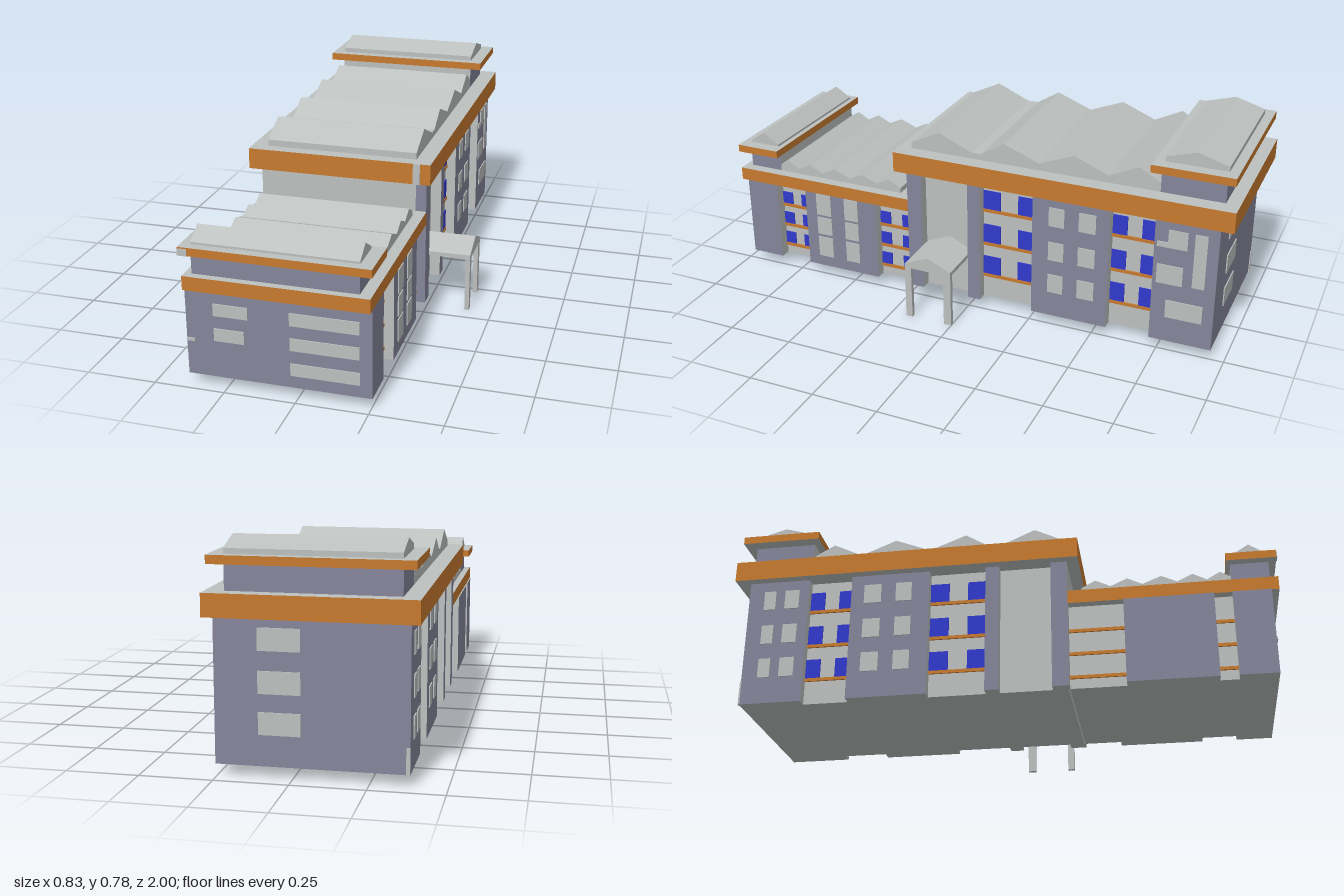
import * as THREE from 'three';

const mat = (name, color) => {
  const m = new THREE.MeshStandardMaterial({ color });
  m.name = name;
  return m;
};

export function createModel() {
  const gray = mat('pale gray', 0xbcc0be);
  const purple = mat('slate purple', 0x85859b);
  const orange = mat('orange trim', 0xc77a2e);
  const blue = mat('blue glass', 0x3139cc);
  const root = new THREE.Group();
  root.name = 'building';

  // box from ranges; material may be a six-entry array: +x -x +y -y +z -z
  const box = (name, m, x0, x1, y0, y1, z0, z1) => {
    const mesh = new THREE.Mesh(new THREE.BoxGeometry(x1 - x0, y1 - y0, z1 - z0), m);
    mesh.position.set((x0 + x1) / 2, (y0 + y1) / 2, (z0 + z1) / 2);
    mesh.name = name;
    root.add(mesh);
    return mesh;
  };
  // prism running along x from a [z, y] profile
  const prism = (name, m, x0, x1, profile) => {
    const shape = new THREE.Shape(profile.map(([z, y]) => new THREE.Vector2(-z, y)));
    const geo = new THREE.ExtrudeGeometry(shape, { depth: x1 - x0, bevelEnabled: false });
    geo.rotateY(Math.PI / 2).translate(x0, 0, 0);
    const mesh = new THREE.Mesh(geo, m);
    mesh.name = name;
    root.add(mesh);
  };
  const T = 0.004; // plate thickness
  const sidePlate = (name, m, side, x, y0, y1, z0, z1) =>
    side > 0 ? box(name, m, x - 0.002, x + T, y0, y1, z0, z1)
      : box(name, m, x - T, x + 0.002, y0, y1, z0, z1);

  const XL = -0.385, XR = 0.255, CL = -0.345, CR = 0.215, Y0 = 0.04;
  const FT = 0.36, RT = 0.53; // wall tops of the two wings
  const trim = [orange, orange, gray, gray, orange, orange];
  const pier = [purple, purple, gray, gray, gray, gray];

  // recessed cores
  box('frontWingCore', gray, CL, CR, Y0, FT, 0.25, 0.9);
  box('rearWingCore', gray, CL, CR, Y0, RT, -0.8, 0.245);
  box('rearWingFrontWall', gray, -0.38, CR, FT, RT, 0.2, 0.25);

  // solid end blocks
  box('frontEndBlock', [purple, purple, gray, gray, purple, gray], XL, XR, Y0, FT, 0.835, 0.97);
  box('rearEndBlock', [purple, purple, gray, gray, gray, purple], XL + 0.004, XR, Y0, RT, -0.95, -0.72);

  // projecting side piers
  const rearPiers = [[-0.555, -0.26], [-0.05, 0], [0.19, 0.25]];
  for (const [z0, z1] of rearPiers) {
    const corner = z1 === 0.25;
    box('rightPier', corner ? [purple, purple, gray, gray, purple, gray] : pier, CR, XR, Y0, RT, z0, z1);
    box('leftPier', pier, -0.381, CL, Y0, RT, z0, z1);
  }
  box('rightFrontPier', pier, CR, XR, Y0, FT, 0.39, 0.705);
  box('leftFrontPier', pier, XL, CL, Y0, FT, 0.45, 0.77);

  // balcony bays: floor strips with a pair of blue windows
  const bay = (side, z0, z1, rows, h, w, glass) => {
    const x = side > 0 ? CR : CL;
    for (const y of rows) {
      sidePlate('floorStrip', orange, side, x + side * 0.003, y - 0.012, y, z0, z1);
      if (!glass) continue;
      sidePlate('bayWindow', blue, side, x, y, y + h, z0, z0 + w);
      sidePlate('bayWindow', blue, side, x, y, y + h, z1 - w, z1);
    }
  };
  const rearRows = [0.14, 0.275, 0.415], frontRows = [0.088, 0.178, 0.268];
  for (const side of [1, -1]) {
    bay(side, -0.26, -0.05, rearRows, 0.075, 0.07, true);
    bay(side, -0.72, -0.555, rearRows, 0.075, 0.055, true);
  }
  bay(1, 0.705, 0.835, frontRows, 0.05, 0.045, true);
  bay(1, 0.25, 0.39, frontRows, 0.05, 0.045, true);
  bay(-1, 0.25, 0.45, frontRows, 0.05, 0.045, false);
  bay(-1, 0.77, 0.835, frontRows, 0.05, 0.045, false);

  // pale windows on the piers
  for (const y of rearRows) {
    for (const [z0, z1] of [[-0.385, -0.325], [-0.505, -0.44]]) {
      sidePlate('rightWindow', gray, 1, XR, y, y + 0.075, z0, z1);
      sidePlate('leftWindow', gray, -1, -0.381, y, y + 0.075, z0, z1);
    }
    sidePlate('leftEndWindow', gray, -1, -0.381, y, y + 0.075, -0.89, -0.845);
    sidePlate('leftEndWindow', gray, -1, -0.381, y, y + 0.075, -0.81, -0.755);
    box('backWindow', gray, -0.03, 0.11, y + 0.005, y + 0.08, -0.95 - T, -0.948);
  }
  box('backCornerPlate', gray, -0.381, -0.368, Y0, 0.13, -0.95 - T, -0.948);
  for (const [y0, y1] of [[0.085, 0.17], [0.183, 0.257], [0.268, 0.358]]) {
    sidePlate('rightWindow', gray, 1, XR, y0, y1, 0.59, 0.655);
    sidePlate('rightWindow', gray, 1, XR, y0, y1, 0.47, 0.53);
  }
  for (const [y0, y1, z0, z1] of [[0.42, 0.49, -0.84, -0.77], [0.42, 0.44, -0.77, -0.73],
    [0.28, 0.49, -0.91, -0.865], [0.275, 0.35, -0.83, -0.735], [0.14, 0.21, -0.91, -0.775]]) {
    sidePlate('rightEndWindow', gray, 1, XR, y0, y1, z0, z1);
  }
  for (const [x0, x1, y0, y1] of [[-0.023, 0.214, 0.085, 0.13], [-0.023, 0.214, 0.177, 0.222],
    [-0.023, 0.214, 0.267, 0.313], [-0.287, -0.166, 0.267, 0.311], [-0.287, -0.181, 0.175, 0.221],
    [-0.385, -0.356, 0.164, 0.175]]) {
    box('frontWindow', gray, x0, x1, y0, y1, 0.968, 0.97 + T);
  }

  // roof slabs with orange edges
  box('frontRoofSlab', trim, -0.38, 0.256, FT, 0.41, 0.25, 0.997);
  box('rearRoofSlab', trim, -0.415, 0.278, RT, 0.608, -1, 0.293);
  box('slabEndPlate', gray, 0.214, 0.24, RT, 0.608, 0.291, 0.293 + T);

  // end penthouses
  box('frontPenthouse', [purple, purple, gray, gray, purple, gray], -0.355, CR, 0.41, 0.483, 0.835, 0.97);
  box('frontPenthouseSlab', trim, -0.389, 0.262, 0.483, 0.512, 0.82, 0.997);
  box('slabEndPlate', gray, -0.389, -0.356, 0.483, 0.507, 0.995, 1);
  prism('frontPenthouseRoof', gray, -0.355, CR,
    [[0.965, 0.51], [0.965, 0.52], [0.905, 0.56], [0.84, 0.52], [0.84, 0.51]]);
  box('rearPenthouse', [purple, purple, gray, gray, gray, purple], -0.355, CR, 0.608, 0.697, -0.95, -0.72);
  box('rearPenthouseSlab', trim, -0.401, 0.263, 0.697, 0.726, -0.988, -0.692);
  prism('rearPenthouseRoof', gray, -0.355, CR,
    [[-0.73, 0.724], [-0.73, 0.744], [-0.84, 0.777], [-0.953, 0.744], [-0.953, 0.724]]);

  // ridged roofs
  prism('frontRidgedRoof', gray, -0.355, CR,
    [[0.3, 0.405], [0.3, 0.43], [0.35, 0.457], [0.405, 0.43], [0.465, 0.457], [0.52, 0.43],
      [0.588, 0.457], [0.645, 0.43], [0.7, 0.457], [0.75, 0.43], [0.797, 0.457], [0.835, 0.435],
      [0.835, 0.405]]);
  prism('rearRidgedRoof', gray, -0.355, CR,
    [[0.245, 0.605], [0.245, 0.632], [0.13, 0.688], [0, 0.632], [-0.04, 0.632], [-0.13, 0.688],
      [-0.267, 0.635], [-0.4, 0.688], [-0.532, 0.635], [-0.64, 0.688], [-0.725, 0.64], [-0.725, 0.605]]);

  // entrance canopy and posts
  prism('entranceCanopy', gray, CR, 0.412,
    [[0, 0.21], [0, 0.226], [0.093, 0.267], [0.188, 0.226], [0.188, 0.21]]);
  box('canopyPost', gray, 0.395, 0.412, 0, 0.212, 0, 0.03);
  box('canopyPost', gray, 0.395, 0.412, 0, 0.212, 0.162, 0.188);

  return root;
}
